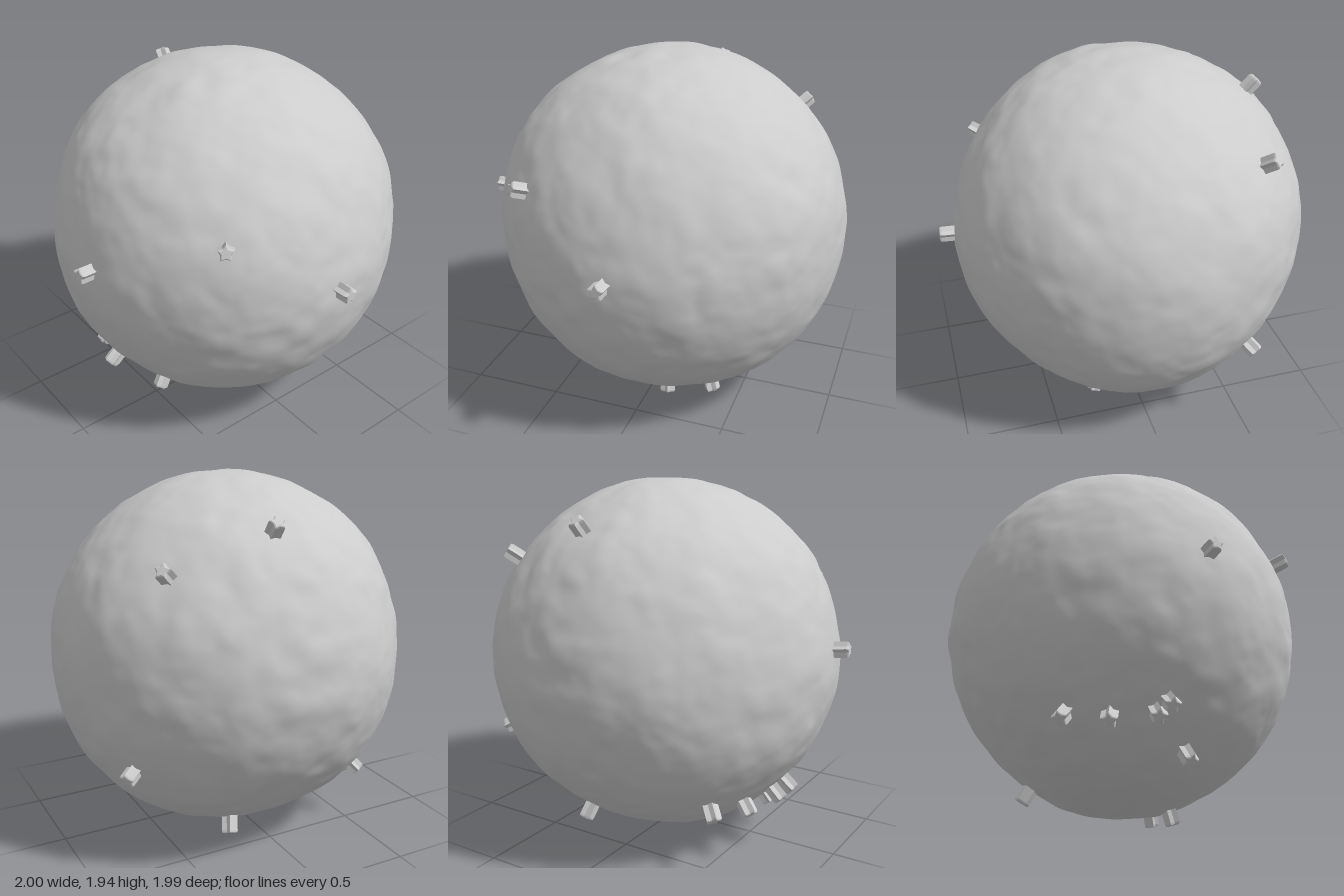
import * as THREE from 'three';
import { mergeVertices } from 'three/addons/utils/BufferGeometryUtils.js';

const CENTER = new THREE.Vector3(-0.04, 0.985, -0.03);

// Seeded lattice value in -1..1
function lattice(x, y, z) {
  let h = Math.imul(x, 374761393) ^ Math.imul(y, 668265263) ^ Math.imul(z, 1274126177);
  h = Math.imul(h ^ (h >>> 13), 1103515245);
  h = Math.imul(h ^ (h >>> 15), 739982445);
  return (((h ^ (h >>> 16)) >>> 0) / 4294967295) * 2 - 1;
}

// Smooth value noise
function noise(x, y, z) {
  const [i, j, k] = [x, y, z].map(Math.floor);
  const s = (t) => t * t * t * (t * (t * 6 - 15) + 10);
  const [u, v, w] = [s(x - i), s(y - j), s(z - k)];
  let sum = 0;
  for (let n = 0; n < 8; n++) {
    const a = n & 1, b = (n >> 1) & 1, c = n >> 2;
    sum += lattice(i + a, j + b, k + c) * (a ? u : 1 - u) * (b ? v : 1 - v) * (c ? w : 1 - w);
  }
  return sum;
}

// Broad swells and dents: direction and height
const SWELLS = [
  [new THREE.Vector3(0, -0.65, -0.75).normalize(), 0.022],
  [new THREE.Vector3(-0.61, 0, 0.68).normalize(), -0.02],
  [new THREE.Vector3(-0.68, -0.6, 0).normalize(), -0.025],
  [new THREE.Vector3(0.82, 0.42, 0).normalize(), -0.015],
];

function lumpyBall() {
  const geo = new THREE.IcosahedronGeometry(1, 44);
  geo.deleteAttribute('normal');
  geo.deleteAttribute('uv');
  const ball = mergeVertices(geo, 1e-5);
  const pos = ball.attributes.position;
  const d = new THREE.Vector3();
  for (let i = 0; i < pos.count; i++) {
    d.fromBufferAttribute(pos, i).normalize();
    let r = 0.956;
    for (const [dir, h] of SWELLS) r += h * Math.exp((d.dot(dir) - 1) * 12);
    r += 0.009 * noise(d.x * 3 + 7.3, d.y * 3 + 2.1, d.z * 3 + 5.7);
    r += 0.006 * noise(d.x * 8 + 1.9, d.y * 8 + 9.4, d.z * 8 + 3.2);
    r += 0.002 * noise(d.x * 17 + 4.4, d.y * 17 + 6.8, d.z * 17 + 8.5);
    d.multiplyScalar(r);
    pos.setXYZ(i, d.x, d.y, d.z);
  }
  ball.computeVertexNormals();
  return ball;
}

// Five-pointed peg with bevelled end, pointing along +z
function starPeg() {
  const star = new THREE.Shape();
  for (let i = 0; i < 10; i++) {
    const r = i % 2 ? 0.02 : 0.034;
    const a = Math.PI / 2 + (i * Math.PI) / 5;
    star[i ? 'lineTo' : 'moveTo'](r * Math.cos(a), r * Math.sin(a));
  }
  star.closePath();
  return new THREE.ExtrudeGeometry(star, {
    depth: 0.11, bevelThickness: 0.013, bevelSize: 0.007, bevelSegments: 2,
  });
}

// Outward directions of the pegs
const PEGS = [
  [0.15, 0.105, 0.98], [0.73, 0.36, 0.56], [0.99, 0.04, 0.025],
  [-0.65, 0.75, -0.08], [-0.55, 0.56, -0.6], [-0.46, -0.67, 0.565],
  [-0.26, -0.69, 0.66], [-0.05, -0.67, 0.727], [0, -0.625, 0.768],
  [0.16, -0.8, 0.56], [-0.46, -0.85, -0.22], [0.31, -0.93, -0.08],
  [0.28, -0.89, -0.33], [-0.46, -0.44, -0.765],
];

export function createModel() {
  const model = new THREE.Group();
  model.name = 'studdedBall';
  const grey = new THREE.MeshStandardMaterial({ color: 0xcccccc });
  grey.name = 'light grey';

  const ball = new THREE.Mesh(lumpyBall(), grey);
  ball.name = 'lumpyBall';
  ball.position.copy(CENTER);
  model.add(ball);

  // Pegs stand on the surface, half sunk in
  const pegGeo = starPeg();
  PEGS.forEach((p, i) => {
    const dir = new THREE.Vector3(...p).normalize();
    const peg = new THREE.Mesh(pegGeo, grey);
    peg.name = `starPeg${i + 1}`;
    peg.position.copy(CENTER).addScaledVector(dir, 0.914);
    peg.lookAt(peg.position.clone().add(dir));
    model.add(peg);
  });
  return model;
}
